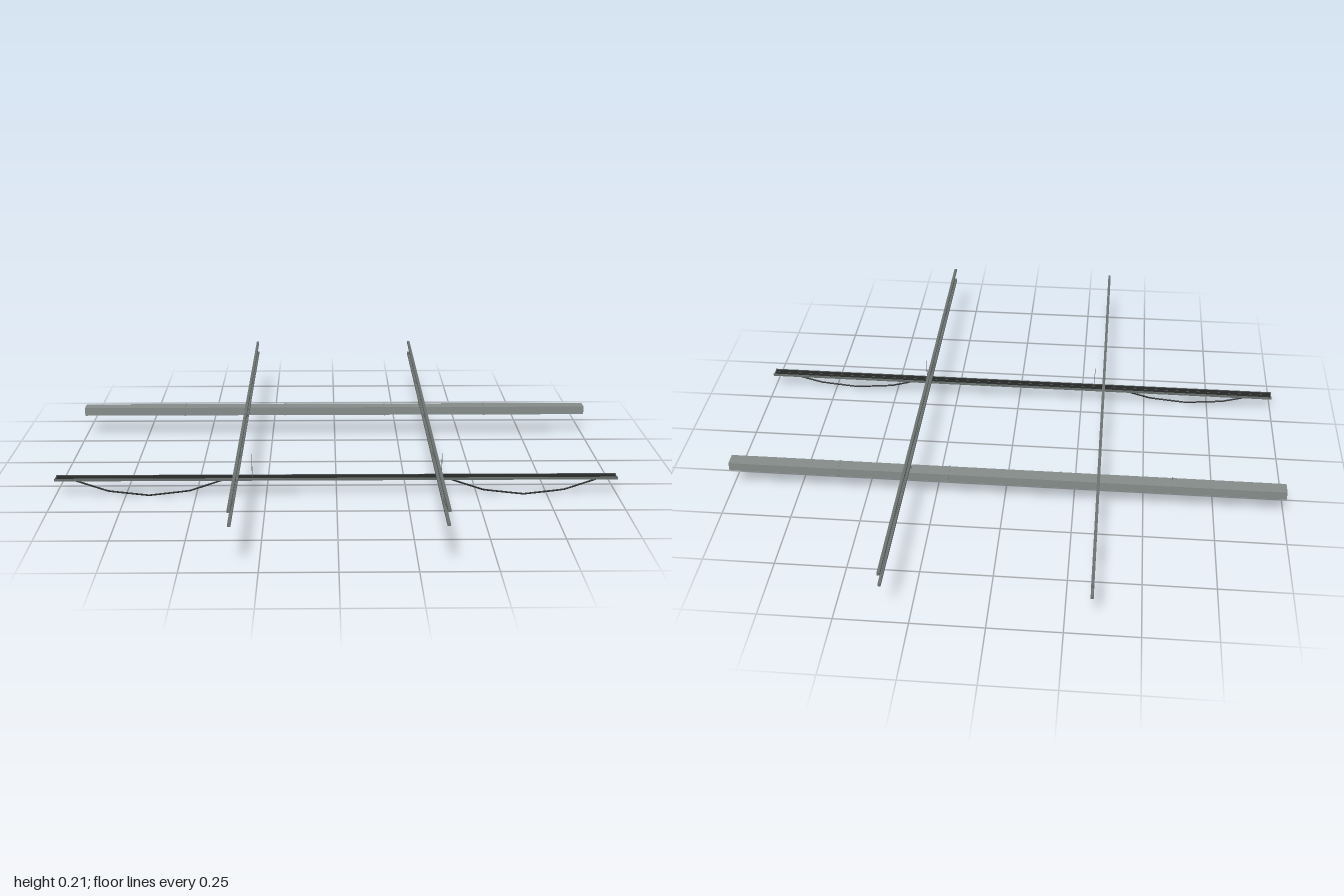
import * as THREE from 'three';

const mat = (name, color) => {
  const m = new THREE.MeshStandardMaterial({ color });
  m.name = name;
  return m;
};

export function createModel() {
  const model = new THREE.Group();
  model.name = 'ceilingServices';
  const steel = mat('trussSteel', 0x6a716f);
  const galvanised = mat('ductMetal', 0x848b89);
  const trayMetal = mat('trayMetal', 0x666d6a);
  const rubber = mat('cableBlack', 0x262928);

  const box = (parent, name, material, size, pos) => {
    const mesh = new THREE.Mesh(new THREE.BoxGeometry(...size), material);
    mesh.name = name;
    mesh.position.set(...pos);
    parent.add(mesh);
    return mesh;
  };

  // Thin square bar between two points in a plane of constant x
  const brace = (parent, x, a, b) => {
    const dz = b[0] - a[0], dy = b[1] - a[1];
    const bar = box(parent, 'webBrace', steel, [0.004, 0.004, Math.hypot(dz, dy)],
      [x, (a[1] + b[1]) / 2, (a[0] + b[0]) / 2]);
    bar.rotation.x = -Math.atan2(dy, dz);
  };

  const trussX = 0.337, topY = 0.205, bottomY = 0.158;
  const ductY = 0.103, ductZ = -0.334, trayY = 0.061, trayZ = 0.335;

  for (const side of [-1, 1]) {
    const x = side * trussX;

    // Roof truss: two chords with a zigzag web
    const truss = new THREE.Group();
    truss.name = side < 0 ? 'rightTruss' : 'leftTruss';
    box(truss, 'topChord', steel, [0.01, 0.011, 2], [x, topY, 0]);
    box(truss, 'bottomChord', steel, [0.01, 0.009, 2], [x, bottomY, 0]);
    const node = i => [1 - (2 * i) / 9, i % 2 ? bottomY : topY - 0.002];
    for (let i = 0; i < 9; i++) brace(truss, x, node(i), node(i + 1));
    model.add(truss);

    // Hanger rods
    box(model, 'ductHanger', steel, [0.002, 0.036, 0.002], [x, 0.137, ductZ]);
    box(model, 'trayHanger', steel, [0.002, 0.09, 0.002], [x + 0.037, 0.107, trayZ]);

    // Cable sagging below the tray, swinging slightly to the front
    const points = [];
    for (let i = 0; i <= 4; i++) {
      const t = i / 2 - 1;
      const drop = 1 - t * t;
      points.push(new THREE.Vector3(side * 0.667 + t * 0.285, 0.063 - 0.06 * drop, 0.337 + 0.013 * drop));
    }
    const path = new THREE.CurvePath();
    for (let i = 0; i < 4; i++) path.add(new THREE.LineCurve3(points[i], points[i + 1]));
    const cable = new THREE.Mesh(new THREE.TubeGeometry(path, 16, 0.003, 6), rubber);
    cable.name = 'hangingCable';
    model.add(cable);
  }

  // Rectangular air duct with joint flanges
  const duct = new THREE.Group();
  duct.name = 'airDuct';
  box(duct, 'ductBody', galvanised, [2, 0.032, 0.05], [0, ductY, ductZ]);
  for (const x of [-0.6, -0.2, 0.2, 0.6])
    box(duct, 'ductFlange', galvanised, [0.005, 0.036, 0.054], [x, ductY, ductZ]);
  model.add(duct);

  // Cable tray with raised edges and two flat cable runs lying in it
  const tray = new THREE.Group();
  tray.name = 'cableTray';
  box(tray, 'trayBase', trayMetal, [2, 0.004, 0.04], [0, trayY, trayZ]);
  for (const s of [-1, 1])
    box(tray, 'trayEdge', trayMetal, [2, 0.009, 0.003], [0, trayY + 0.002, trayZ + s * 0.0185]);
  box(tray, 'cableRun', rubber, [1.99, 0.004, 0.015], [0, trayY + 0.004, trayZ - 0.009]);
  box(tray, 'cableRun', rubber, [1.99, 0.004, 0.011], [0, trayY + 0.004, trayZ + 0.011]);
  model.add(tray);

  return model;
}
